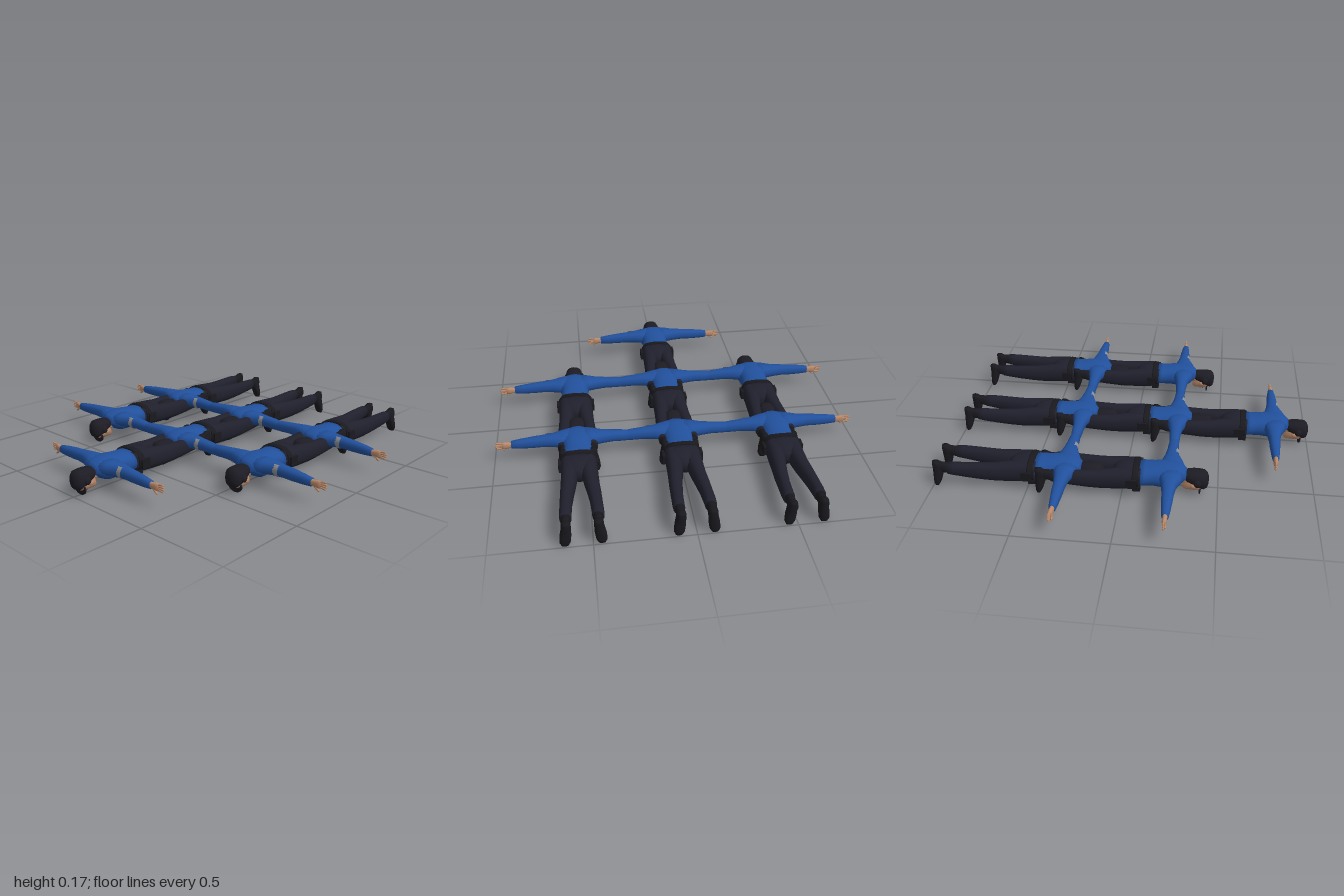
import * as THREE from 'three';

const mat = (name, color) => Object.assign(new THREE.MeshStandardMaterial({ color }), { name });
const M = {
  shirt: mat('blue shirt', 0x21509c),
  trousers: mat('dark trousers', 0x20202d),
  leather: mat('black leather', 0x19191e),
  skin: mat('skin', 0xba8a6c),
  hair: mat('dark hair', 0x1d1c24),
  patch: mat('grey patch', 0x8c8d92),
};
M.patch.side = THREE.DoubleSide;

// Closed tube along z through elliptical sections [z, centreX, centreY, radiusX, radiusY]
function loft(sections, n = 16) {
  const pos = [], idx = [];
  for (const [z, cx, cy, rx, ry] of sections) {
    for (let i = 0; i < n; i++) {
      const a = (i / n) * Math.PI * 2;
      const c = Math.cos(a), s = Math.sin(a);
      pos.push(cx + rx * Math.sign(c) * Math.abs(c) ** 0.85, cy + ry * Math.sign(s) * Math.abs(s) ** 0.85, z);
    }
  }
  const rows = sections.length;
  for (let j = 0; j < rows - 1; j++) {
    for (let i = 0; i < n; i++) {
      const k = (i + 1) % n, a = j * n + i, b = j * n + k;
      idx.push(a, b, a + n, b, b + n, a + n);
    }
  }
  for (const j of [0, rows - 1]) {
    const [z, cx, cy] = sections[j], c = pos.length / 3;
    pos.push(cx, cy, z);
    for (let i = 0; i < n; i++) {
      const a = j * n + i, b = j * n + (i + 1) % n;
      idx.push(...(j ? [c, a, b] : [c, b, a]));
    }
  }
  const g = new THREE.BufferGeometry();
  g.setAttribute('position', new THREE.Float32BufferAttribute(pos, 3));
  g.setIndex(idx);
  g.computeVertexNormals();
  return g;
}

function add(parent, name, geometry, material, x = 0, y = 0, z = 0) {
  const m = new THREE.Mesh(geometry, material);
  m.name = name;
  m.position.set(x, y, z);
  parent.add(m);
  return m;
}

const ball = (rx, ry, rz) => new THREE.SphereGeometry(1, 16, 12).scale(rx, ry, rz);

// Tube along x on side s, sections [x, z, y, radiusZ, radiusY]
const sideways = (s, rows) =>
  loft(rows.map(([x, z, y, rz, ry]) => [x, -s * z, y, rz, ry])).rotateY(s * Math.PI / 2);

function makeArm(s) {
  const arm = new THREE.Group();
  arm.name = s > 0 ? 'leftArm' : 'rightArm';
  add(arm, 'sleeve', sideways(s, [
    [0.02, 0.01, 0.125, 0.07, 0.042], [0.08, 0.004, 0.126, 0.056, 0.04], [0.13, 0, 0.126, 0.039, 0.036],
    [0.19, 0, 0.125, 0.031, 0.032], [0.24, 0, 0.122, 0.029, 0.031], [0.31, 0, 0.118, 0.023, 0.027],
    [0.355, 0, 0.116, 0.018, 0.022],
  ]), M.shirt);
  add(arm, 'hand', sideways(s, [
    [0.34, 0, 0.116, 0.011, 0.014], [0.365, 0, 0.115, 0.012, 0.017],
    [0.39, -0.001, 0.115, 0.012, 0.021], [0.405, -0.002, 0.115, 0.009, 0.02],
  ]), M.skin);
  // Four fingers, then the thumb
  for (let i = 0; i < 4; i++) {
    const f = add(arm, 'finger', new THREE.CapsuleGeometry(0.0052, 0.034, 3, 8), M.skin,
      s * (i % 3 ? 0.419 : 0.414), 0.13 - i * 0.01, -0.003);
    f.rotation.z = Math.PI / 2 + s * (1.5 - i) * 0.08;
  }
  const thumb = add(arm, 'thumb', new THREE.CapsuleGeometry(0.006, 0.026, 3, 8), M.skin, s * 0.388, 0.092, 0.004);
  thumb.rotation.z = s * 0.9;
  return arm;
}

function makeLeg(s) {
  const leg = new THREE.Group();
  leg.name = s > 0 ? 'leftLeg' : 'rightLeg';
  const rows = [
    [-0.615, 0.078, 0.108, 0.029, 0.033], [-0.58, 0.078, 0.106, 0.03, 0.037], [-0.5, 0.074, 0.1, 0.031, 0.043],
    [-0.42, 0.067, 0.095, 0.035, 0.048], [-0.36, 0.06, 0.093, 0.038, 0.052], [-0.28, 0.052, 0.097, 0.044, 0.057],
    [-0.2, 0.047, 0.102, 0.048, 0.058], [-0.15, 0.044, 0.108, 0.045, 0.05],
  ];
  add(leg, 'trouserLeg', loft(rows.map(([z, x, ...r]) => [z, s * x, ...r])), M.trousers);
  // Boot shaft, and a foot whose toes point down
  add(leg, 'bootShaft', loft([
    [-0.69, s * 0.077, 0.113, 0.023, 0.03], [-0.65, s * 0.077, 0.11, 0.022, 0.029], [-0.6, s * 0.077, 0.108, 0.025, 0.03],
  ]), M.leather);
  add(leg, 'foot', loft([
    [0.006, s * 0.088, 0.683, 0.017, 0.01], [0.025, s * 0.087, 0.68, 0.027, 0.018], [0.06, s * 0.083, 0.674, 0.028, 0.024],
    [0.1, s * 0.078, 0.668, 0.024, 0.031], [0.13, s * 0.077, 0.672, 0.023, 0.028], [0.144, s * 0.077, 0.682, 0.016, 0.017],
  ]).rotateX(-Math.PI / 2), M.leather);
  return leg;
}

function makeHead() {
  const head = new THREE.Group();
  head.name = 'head';
  add(head, 'neck', loft([
    [0.03, 0, 0.108, 0.036, 0.036], [0.07, 0, 0.1, 0.03, 0.031], [0.11, 0, 0.09, 0.029, 0.03],
  ]), M.skin);
  add(head, 'face', loft([
    [0.066, 0, 0.05, 0.015, 0.014], [0.078, 0, 0.057, 0.03, 0.027], [0.1, 0, 0.068, 0.039, 0.038],
    [0.13, 0, 0.074, 0.045, 0.044], [0.16, 0, 0.076, 0.044, 0.045], [0.18, 0, 0.078, 0.03, 0.032],
  ]), M.skin);
  // Hair over the back of the head and the nape
  add(head, 'hair', loft([
    [0.068, 0, 0.115, 0.028, 0.02], [0.09, 0, 0.109, 0.04, 0.03], [0.12, 0, 0.103, 0.049, 0.04],
    [0.15, 0, 0.094, 0.051, 0.05], [0.176, 0, 0.09, 0.048, 0.052], [0.192, 0, 0.088, 0.036, 0.042],
    [0.2, 0, 0.088, 0.016, 0.02],
  ]), M.hair);
  const peak = add(head, 'peak', new THREE.CylinderGeometry(1, 1, 0.007, 24).scale(0.046, 1, 0.038).rotateX(Math.PI / 2),
    M.hair, 0, 0.045, 0.157);
  peak.rotation.x = 0.1;
  add(head, 'nose', ball(0.007, 0.012, 0.012), M.skin, 0, 0.03, 0.118);
  add(head, 'mouth', ball(0.013, 0.003, 0.002), M.hair, 0, 0.033, 0.093);
  for (const s of [-1, 1]) {
    add(head, 'eye', ball(0.007, 0.003, 0.004), M.hair, s * 0.017, 0.034, 0.131);
    add(head, 'ear', ball(0.007, 0.012, 0.015), M.skin, s * 0.048, 0.073, 0.123);
    add(head, 'sideHair', ball(0.012, 0.022, 0.02), M.hair, s * 0.048, 0.09, 0.143);
  }
  return head;
}

function makeFigure() {
  const fig = new THREE.Group();
  fig.name = 'figure';
  add(fig, 'torso', loft([
    [-0.165, 0, 0.108, 0.089, 0.053], [-0.13, 0, 0.108, 0.083, 0.053], [-0.08, 0, 0.11, 0.077, 0.057],
    [-0.03, 0, 0.111, 0.086, 0.061], [0.02, 0, 0.113, 0.095, 0.058], [0.05, 0, 0.117, 0.08, 0.048],
    [0.072, 0, 0.12, 0.046, 0.034], [0.084, 0, 0.116, 0.034, 0.028],
  ], 20), M.shirt);
  add(fig, 'hips', loft([
    [-0.3, 0, 0.1, 0.03, 0.035], [-0.27, 0, 0.104, 0.07, 0.052], [-0.22, 0, 0.108, 0.093, 0.058],
    [-0.165, 0, 0.108, 0.09, 0.055],
  ], 20), M.trousers);
  add(fig, 'belt', loft([
    [-0.192, 0, 0.108, 0.098, 0.06], [-0.187, 0, 0.108, 0.1, 0.062],
    [-0.163, 0, 0.108, 0.098, 0.061], [-0.158, 0, 0.108, 0.092, 0.056],
  ], 20), M.leather);
  add(fig, 'buckle', new THREE.BoxGeometry(0.03, 0.006, 0.02), M.patch, 0, 0.046, -0.175);
  // Pouches hanging from the belt
  for (const s of [-1, 1]) {
    add(fig, 'sidePouch', new THREE.BoxGeometry(0.022, 0.05, 0.055), M.leather, s * 0.096, 0.1, -0.196);
    add(fig, 'frontPouch', new THREE.BoxGeometry(0.034, 0.024, 0.042), M.leather, s * 0.06, 0.05, -0.172);
    fig.add(makeArm(s), makeLeg(s));
  }
  // Grey badge wrapped around the front of the left sleeve
  const badge = new THREE.CylinderGeometry(0.037, 0.039, 0.042, 12, 1, true, -1.1, 2.1).rotateZ(Math.PI / 2);
  add(fig, 'sleeveBadge', badge, M.patch, 0.15, 0.126, 0);
  fig.add(makeHead());
  return fig;
}

export function createModel() {
  const model = new THREE.Group();
  model.name = 'formation';
  const figure = makeFigure();
  // One figure leads two rows of three
  const spots = [[0, 0.8]];
  for (const z of [0.25, -0.3]) for (const x of [-0.545, 0, 0.545]) spots.push([x, z]);
  for (const [x, z] of spots) {
    const f = figure.clone();
    f.position.set(x, 0, z);
    model.add(f);
  }
  return model;
}
